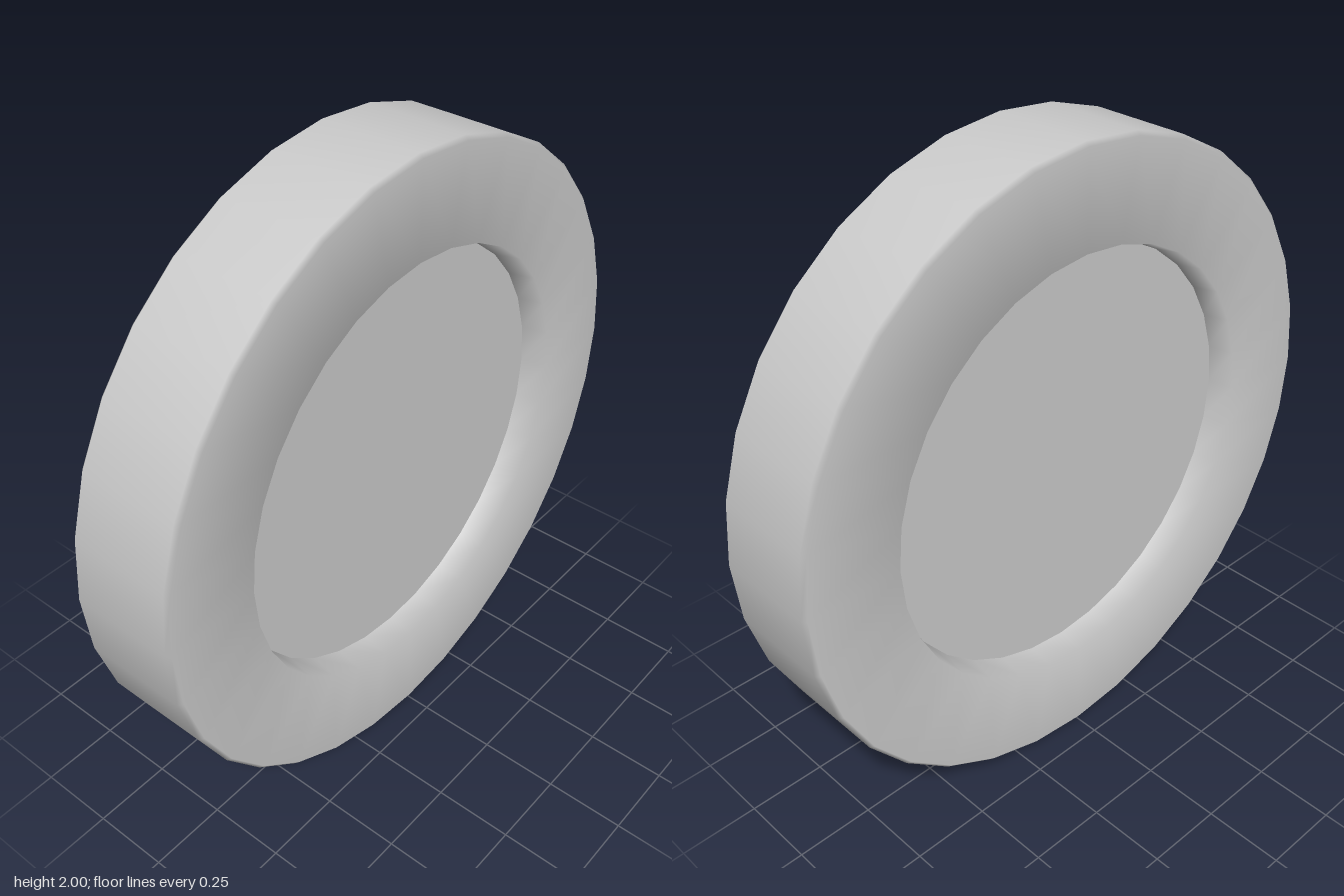
import * as THREE from 'three';

export function createModel() {
  const group = new THREE.Group();
  const material = new THREE.MeshStandardMaterial({ color: 0xcccccc });
  const sides = 32, discRadius = 0.675, discZ = 0.09;

  // Front half of the rim's section as [radius, z]: outer wall, small bevel, flat face, recess wall
  const half = [[1, 0.162], [0.988, 0.175], [0.69, 0.175], [discRadius, discZ]];
  const profile = [
    ...half.map(([r, z]) => new THREE.Vector2(r, -z)).reverse(),
    ...half.map(([r, z]) => new THREE.Vector2(r, z)),
  ];

  // Thick ring, turned so its axis runs along z
  const rimGeometry = new THREE.LatheGeometry(profile, sides).rotateX(Math.PI / 2);
  const rim = new THREE.Mesh(rimGeometry, material);
  rim.name = 'rim';
  rim.position.y = 1;
  group.add(rim);

  // Flat recessed discs closing the ring on both faces
  for (const [name, turn] of [['frontDisc', 0], ['backDisc', Math.PI]]) {
    const disc = new THREE.Mesh(new THREE.CircleGeometry(discRadius, sides), material);
    disc.name = name;
    disc.rotation.y = turn;
    disc.position.set(0, 1, discZ * Math.cos(turn));
    group.add(disc);
  }

  return group;
}
